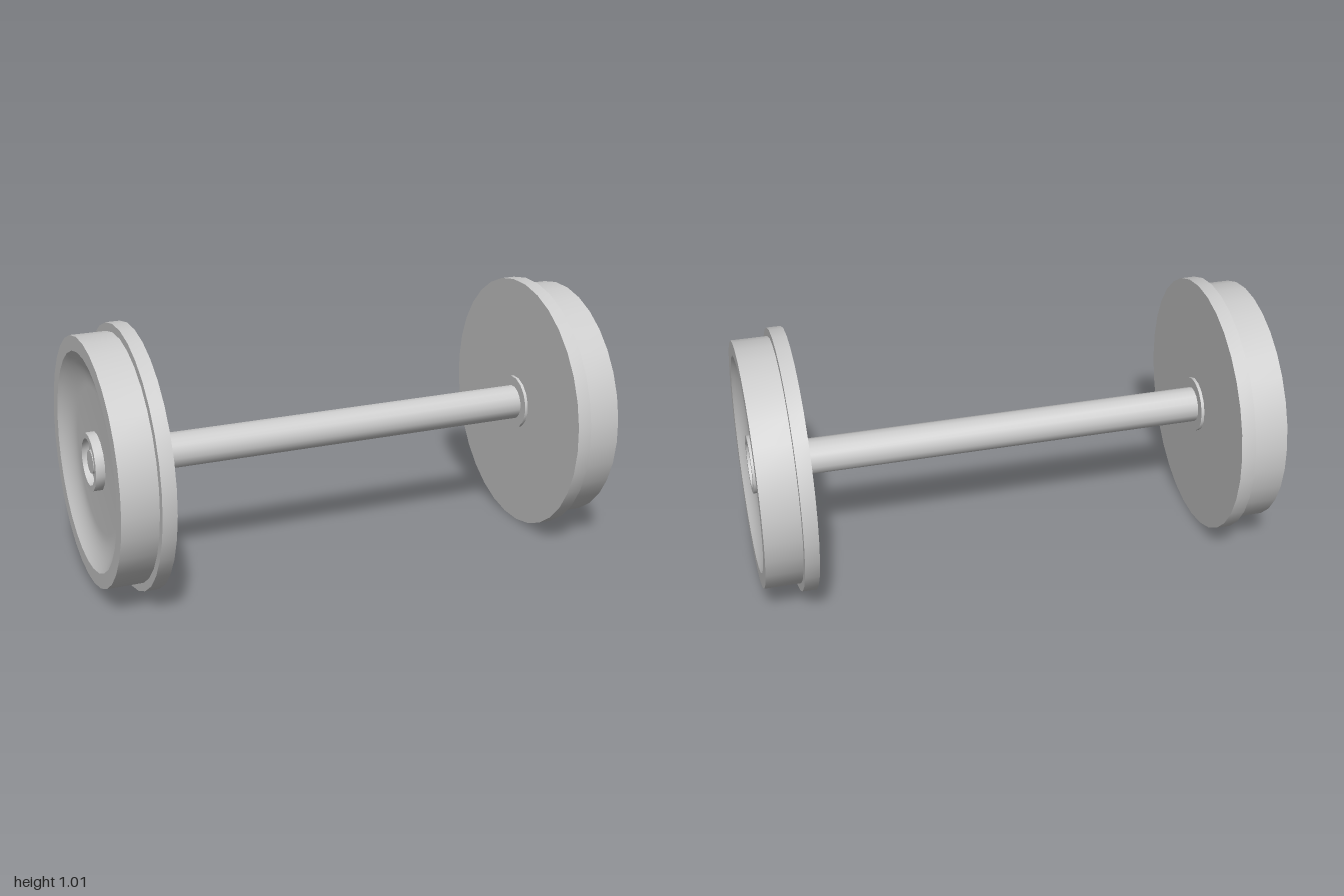
import * as THREE from 'three';
import { toCreasedNormals } from 'three/addons/utils/BufferGeometryUtils.js';

const material = new THREE.MeshStandardMaterial({ color: 0xcccccc });
const AXLE_HEIGHT = 0.505;

// Revolves [radius, x] pairs around the x axis, with flats facing up and sideways.
function turned(name, profile, sides) {
  const points = profile.map(([r, x]) => new THREE.Vector2(r, x));
  const lathe = new THREE.LatheGeometry(points, sides, Math.PI / sides);
  lathe.rotateZ(-Math.PI / 2);
  const mesh = new THREE.Mesh(toCreasedNormals(lathe, 0.5), material);
  mesh.name = name;
  return mesh;
}

// Concave curve from the rim edge down to the flat web.
function dishProfile(rimR, rimX, webR, webX, steps = 8) {
  const points = [];
  for (let i = 0; i <= steps; i++) {
    const t = i / steps;
    points.push([rimR + (webR - rimR) * t, webX + (rimX - webX) * (1 - t) ** 2]);
  }
  return points;
}

function makeWheel(name) {
  const wheel = new THREE.Group();
  wheel.name = name;

  // Flange, tread, rim face and dished web
  wheel.add(turned('wheelDisc', [
    [0, 0.805], [0.507, 0.805], [0.507, 0.86], [0.475, 0.86], [0.475, 1],
    ...dishProfile(0.417, 1, 0.28, 0.955),
    [0, 0.955],
  ], 32));

  // Raised hub ring with a recess and a centre pin
  wheel.add(turned('hubRing', [
    [0.112, 0.95], [0.112, 0.99], [0.09, 0.99], [0.09, 0.962], [0, 0.962],
  ], 16));
  wheel.add(turned('axlePin', [[0.045, 0.955], [0.045, 0.982], [0, 0.982]], 16));

  // Collar on the inner face
  wheel.add(turned('innerCollar', [[0, 0.793], [0.108, 0.793], [0.108, 0.81]], 16));
  return wheel;
}

export function createModel() {
  const model = new THREE.Group();
  model.name = 'wheelset';
  const assembly = new THREE.Group();
  assembly.name = 'axleAssembly';
  assembly.position.y = AXLE_HEIGHT;

  assembly.add(turned('axle', [[0.069, -0.8], [0.069, 0.8]], 16));

  const leftWheel = makeWheel('leftWheel');
  const rightWheel = makeWheel('rightWheel');
  rightWheel.rotation.y = Math.PI;
  assembly.add(leftWheel, rightWheel);

  model.add(assembly);
  return model;
}
